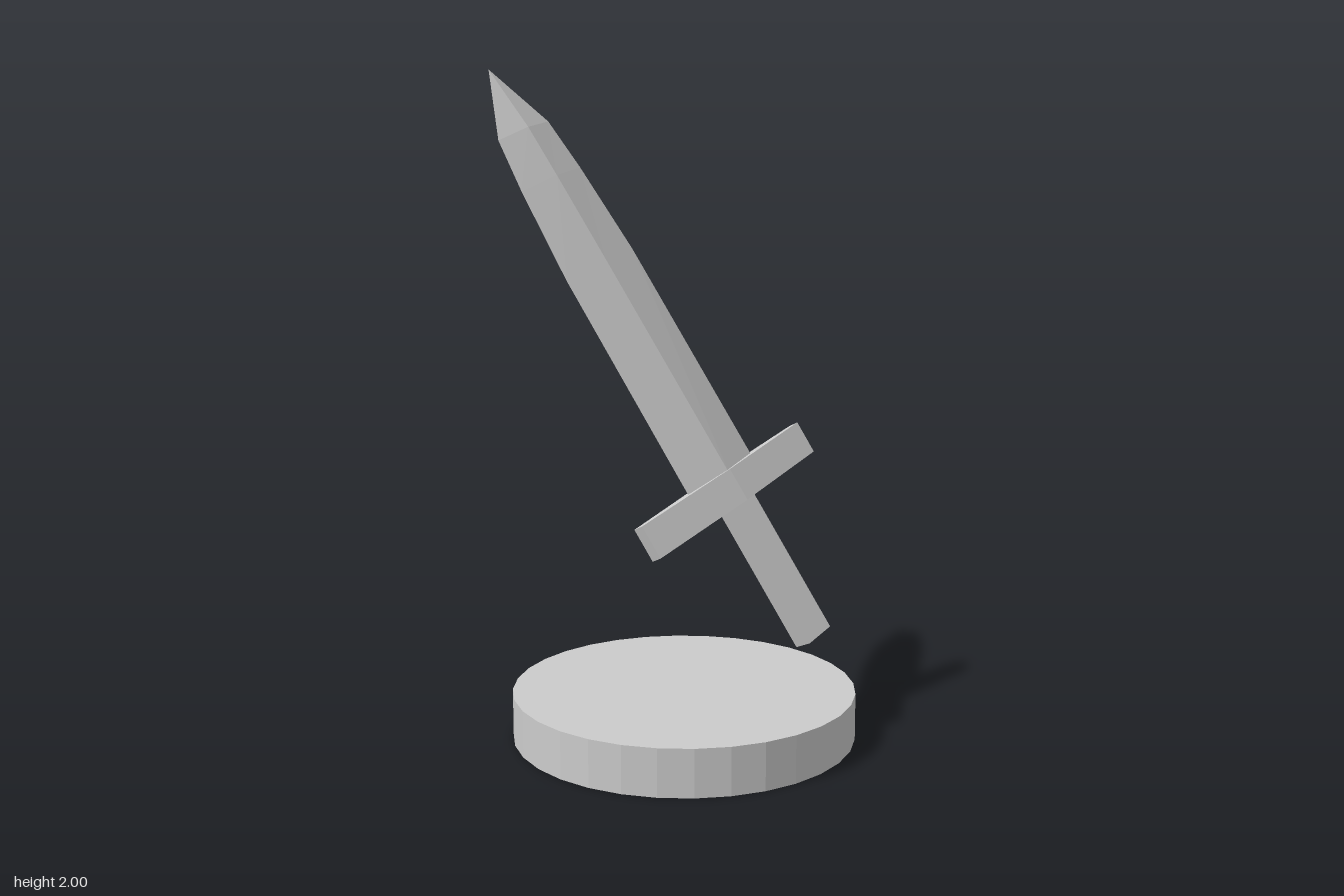
import * as THREE from 'three';

const material = new THREE.MeshStandardMaterial({ color: 0xcccccc, flatShading: true });

function part(name, geometry) {
  const mesh = new THREE.Mesh(geometry, material);
  mesh.name = name;
  return mesh;
}

// Diamond-section blade lofted along y; each section is [y, half width, half thickness]
function bladeGeometry(sections) {
  const positions = [];
  const index = [];
  for (const [y, w, t] of sections) positions.push(w, y, 0, 0, y, t, -w, y, 0, 0, y, -t);
  for (let i = 0; i < sections.length - 1; i++) {
    for (let k = 0; k < 4; k++) {
      const a = i * 4 + k;
      const b = i * 4 + ((k + 1) % 4);
      index.push(a, a + 4, b, b, a + 4, b + 4);
    }
  }
  // Close the root
  index.push(0, 1, 2, 0, 2, 3);
  // Wind the faces outwards: x -> z runs clockwise seen from above
  const geometry = new THREE.BufferGeometry();
  geometry.setAttribute('position', new THREE.Float32BufferAttribute(positions, 3));
  geometry.setIndex(index);
  const flat = geometry.toNonIndexed();
  flat.computeVertexNormals();
  return flat;
}

// Bar along x that is thicker in z at its middle
function guardGeometry(length, height, endThickness, midThickness) {
  const geometry = new THREE.BoxGeometry(length, height, endThickness, 2, 1, 1);
  const p = geometry.attributes.position;
  for (let i = 0; i < p.count; i++) {
    if (Math.abs(p.getX(i)) < 1e-4) p.setZ(i, Math.sign(p.getZ(i)) * midThickness / 2);
  }
  geometry.computeVertexNormals();
  return geometry;
}

export function createModel() {
  const model = new THREE.Group();
  model.name = 'swordOnStand';

  // Round stand
  const base = part('base', new THREE.CylinderGeometry(0.5225, 0.5225, 0.142, 32));
  base.position.set(0.015, 0.071, 0);
  model.add(base);

  // Sword built upright around the middle of its guard
  const sword = new THREE.Group();
  sword.name = 'sword';
  sword.add(part('blade', bladeGeometry([
    [0.04, 0.147, 0.038],
    [0.77, 0.143, 0.034],
    [1.06, 0.123, 0.031],
    [1.225, 0.103, 0.027],
    [1.433, 0, 0],
  ])));
  sword.add(part('guard', guardGeometry(0.731, 0.105, 0.04, 0.1)));
  const handle = part('handle', new THREE.BoxGeometry(0.103, 0.5, 0.062));
  handle.position.y = -0.263;
  sword.add(handle);

  // Tilt: y follows the blade, x follows the guard
  const up = new THREE.Vector3(-0.476, 0.863, 0.172).normalize();
  const across = new THREE.Vector3(-0.198, -0.298, 0.934);
  const side = across.clone().cross(up).normalize();
  across.crossVectors(up, side);
  sword.quaternion.setFromRotationMatrix(new THREE.Matrix4().makeBasis(across, up, side));
  sword.position.set(0.142, 0.7635, -0.046);
  model.add(sword);

  return model;
}
